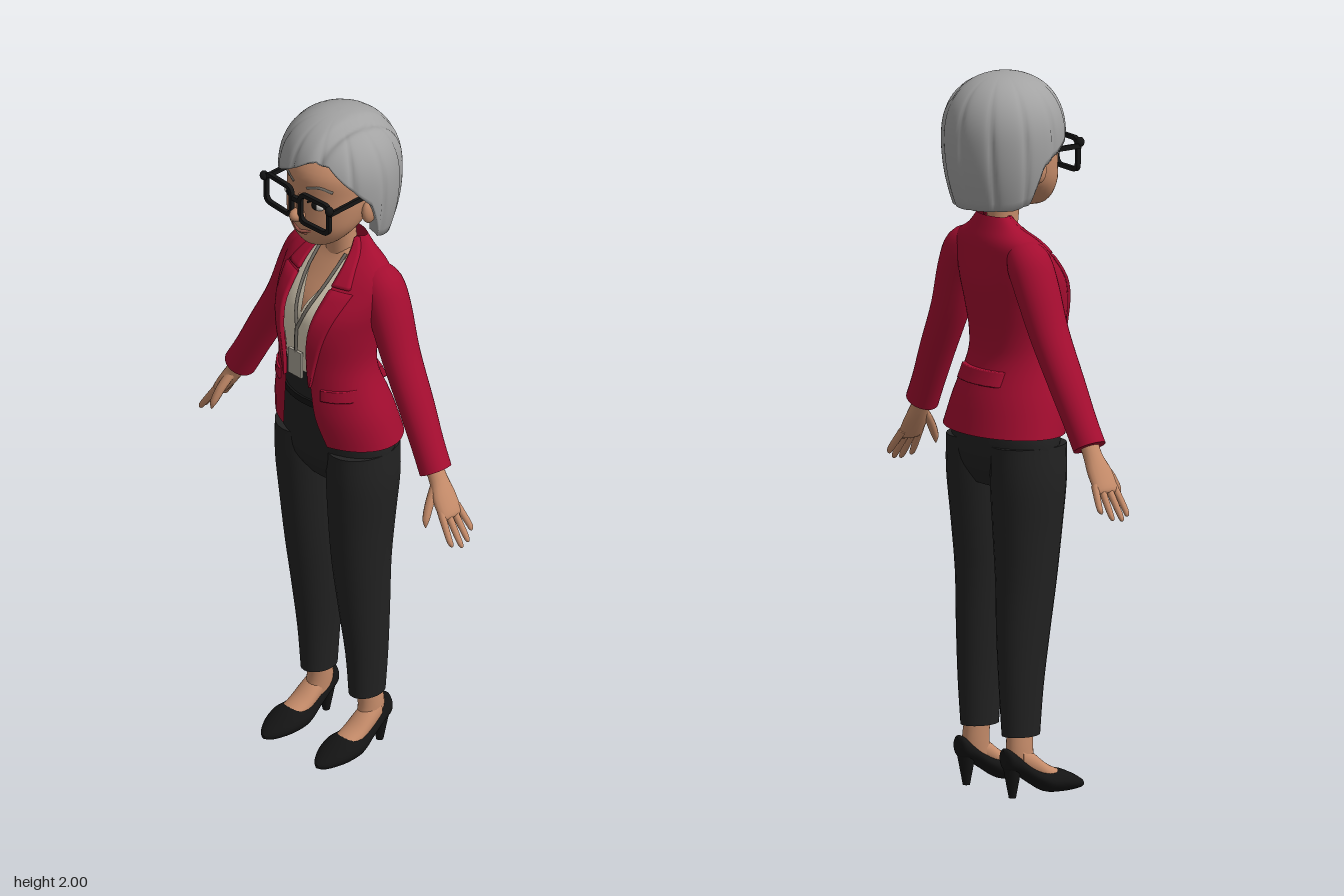
import * as THREE from 'three';

const mat = (name, color, side = THREE.FrontSide) => {
  const m = new THREE.MeshStandardMaterial({ color, side });
  m.name = name;
  return m;
};

// Surface through rows of points; closed rows wrap around
function grid(rows, closed = true) {
  const n = rows[0].length, idx = [];
  for (let i = 0; i < rows.length - 1; i++) {
    for (let j = 0; j < (closed ? n : n - 1); j++) {
      const k = (j + 1) % n, a = i * n + j, b = i * n + k;
      idx.push(a, a + n, b, b, a + n, b + n);
    }
  }
  const g = new THREE.BufferGeometry();
  g.setAttribute('position', new THREE.Float32BufferAttribute(rows.flat(2), 3));
  g.setIndex(idx);
  g.computeVertexNormals();
  return g;
}

// Catmull-Rom refinement of a list of number rows
function smooth(rings, sub = 4) {
  const out = [], at = i => rings[Math.max(0, Math.min(rings.length - 1, i))];
  for (let i = 0; i < rings.length - 1; i++) for (let k = 0; k < sub; k++) {
    const t = k / sub;
    out.push(at(i).map((p1, c) => {
      const p0 = at(i - 1)[c], p2 = at(i + 1)[c], p3 = at(i + 2)[c];
      return p1 + 0.5 * t * (p2 - p0 + t * (2 * p0 - 5 * p1 + 4 * p2 - p3 + t * (3 * (p1 - p2) + p3 - p0)));
    }));
  }
  out.push(at(rings.length - 1));
  return out;
}

// Capped loft of ellipses, ring = [x, y, z, radius across, radius in z]
function loft(rings, n = 24) {
  const R = smooth(rings);
  const rows = R.map(([x, y, z, a, b], i) => {
    const p = R[Math.max(0, i - 1)], q = R[Math.min(R.length - 1, i + 1)];
    const d = Math.hypot(q[0] - p[0], q[1] - p[1]) || 1;
    const px = (q[1] - p[1]) / d, py = -(q[0] - p[0]) / d;
    return Array.from({ length: n }, (_, j) => {
      const f = j / n * Math.PI * 2, c = a * Math.cos(f);
      return [x + px * c, y + py * c, z + b * Math.sin(f)];
    });
  });
  const cap = r => Array.from({ length: n }, () => r.slice(0, 3));
  const last = R.length - 1;
  return grid([cap(R[0]), rows[0], ...rows, rows[last], cap(R[last])]);
}
const mir = (rings, s) => rings.map(([x, ...r]) => [x * s, ...r]);
// Upright body section: [y, half width, front z, back z]
const body = rings => loft(rings.map(([y, w, f, b]) => [0, y, (f + b) / 2, w, (f - b) / 2]), 36);

// Open-fronted garment: [y, half width, front z, back z, half opening]
function shell(rings) {
  return grid(smooth(rings).map(([y, w, f, b, gap]) => {
    const g = Math.asin(Math.max(0, Math.min(0.98, gap / w)));
    return Array.from({ length: 49 }, (_, j) => {
      const t = 2 * Math.PI - g - (2 * Math.PI - 2 * g) * j / 48;
      return [w * Math.sin(t), y, (f + b) / 2 + (f - b) / 2 * Math.cos(t)];
    });
  }), false);
}

const jacketRings = [
  [1.01, 0.205, 0.135, -0.15, 0.085], [1.1, 0.185, 0.15, -0.125, 0.06], [1.2, 0.155, 0.155, -0.088, 0.048],
  [1.27, 0.146, 0.16, -0.086, 0.045], [1.36, 0.157, 0.165, -0.1, 0.05], [1.43, 0.17, 0.148, -0.11, 0.058],
  [1.5, 0.178, 0.09, -0.105, 0.064], [1.54, 0.162, 0.05, -0.1, 0.064], [1.575, 0.1, 0.01, -0.088, 0.056],
  [1.61, 0.062, -0.02, -0.075, 0.045]];
const jacketFine = smooth(jacketRings, 8);

// Raised cloth panel lying on the jacket; span(t, gap) gives its x limits
function panel(y0, y1, span, side = 1, off = 0.009) {
  const us = [0, 0, 0.2, 0.4, 0.6, 0.8, 1, 1], rows = [];
  for (let i = -1; i <= 15; i++) {
    const t = Math.max(0, Math.min(14, i)) / 14, y = y0 + (y1 - y0) * t;
    const k = Math.max(1, jacketFine.findIndex(r => r[0] >= y)), A = jacketFine[k - 1], B = jacketFine[k];
    const [, w, f, b, gap] = A.map((v, c) => v + (B[c] - v) * (y - A[0]) / (B[0] - A[0]));
    const [x0, x1] = span(t, gap), rim = i < 0 || i > 14;
    rows.push(us.map((u, j) => {
      const x = Math.max(-0.97 * w, Math.min(0.97 * w, x1 + (x0 - x1) * u));
      const o = rim || j === 0 || j === 7 ? -0.004 : off;
      return [x, y, (f + b) / 2 + side * ((f - b) / 2 * Math.sqrt(1 - (x / w) ** 2) + o)];
    }));
  }
  return grid(rows, false);
}

// Bob hair: dome whose lower edge changes with the angle from the front
const hairEdge = [[-180, 1.635], [-115, 1.64], [-96, 1.655], [-84, 1.76], [-60, 1.8], [-40, 1.825], [-10, 1.87],
  [20, 1.925], [35, 1.91], [55, 1.85], [78, 1.78], [92, 1.655], [115, 1.64], [180, 1.635]];
function hairGeometry() {
  const rows = [], N = 144, T = 28;
  for (let i = 0; i <= T + 2; i++) {
    const row = [];
    for (let j = 0; j < N; j++) {
      const deg = -180 + 360 * j / N, a = deg * Math.PI / 180;
      const k = Math.max(1, hairEdge.findIndex(e => e[0] >= deg));
      const [d0, e0] = hairEdge[k - 1], [d1, e1] = hairEdge[k];
      const edge = e0 + (e1 - e0) * (deg - d0) / (d1 - d0);
      const t = Math.min(1, i / T);
      let y = 2 - (2 - edge) * t ** 1.8;
      let r = y > 1.82 ? Math.max(0, 1 - ((y - 1.82) / 0.18) ** 2.3) ** (1 / 2.3) : 1 - 0.2 * ((1.82 - y) / 0.19) ** 2;
      const lock = (1 - Math.abs(Math.sin(a * 5.5 + 0.6 + (y - 1.8) * 1.5))) ** 4;
      r *= 1 - 0.045 * lock * Math.min(1, t * 1.5);
      if (i > T) { r *= i === T + 1 ? 0.93 : 0.78; y += (i - T) * 0.006; }
      const x = 0.168 * r * Math.sin(a), z = -0.01 + 0.172 * r * Math.cos(a);
      const part = Math.exp(-(((x - 0.07 + z * 0.1) / 0.016) ** 2));
      if (y > 1.88 && z > -0.14) y -= 0.014 * part;
      row.push([x, y, z]);
    }
    rows.push(row);
  }
  return grid(rows);
}

// Rounded lens rim with a hole
function rimGeometry() {
  const rect = (P, w, h, r) => {
    const p = new P();
    p.moveTo(-w + r, -h).lineTo(w - r, -h).quadraticCurveTo(w, -h, w, -h + r).lineTo(w, h - r)
      .quadraticCurveTo(w, h, w - r, h).lineTo(-w + r, h).quadraticCurveTo(-w, h, -w, h - r)
      .lineTo(-w, -h + r).quadraticCurveTo(-w, -h, -w + r, -h);
    return p;
  };
  const s = rect(THREE.Shape, 0.058, 0.05, 0.025);
  s.holes.push(rect(THREE.Path, 0.047, 0.038, 0.018));
  return new THREE.ExtrudeGeometry(s, { depth: 0.012, bevelEnabled: false });
}

export function createModel() {
  const skin = mat('skin', 0xc68c6a), hair = mat('hair grey', 0xa3a3a3, THREE.DoubleSide);
  const red = mat('jacket red', 0xa50d30, THREE.DoubleSide), cloth = mat('trouser charcoal', 0x222222);
  const black = mat('black', 0x141414), cream = mat('blouse cream', 0xd6cbb5, THREE.DoubleSide);
  const grey = mat('lanyard grey', 0x6f6a62), badgeGrey = mat('badge grey', 0xa8a296);
  const white = mat('eye white', 0xe8e4de), lip = mat('lip', 0xa25a4c);
  const model = new THREE.Group();
  const add = (name, geo, m, x = 0, y = 0, z = 0) => {
    const o = new THREE.Mesh(geo, m);
    o.name = name;
    o.position.set(x, y, z);
    model.add(o);
    return o;
  };
  const blob = (name, m, p, s) => add(name, new THREE.SphereGeometry(1, 20, 14), m, ...p).scale.set(...s);
  const tube = (name, m, r, ...pts) => add(name, new THREE.TubeGeometry(
    new THREE.CatmullRomCurve3(pts.map(p => new THREE.Vector3(...p))), 20, r, 6), m);

  // Head and neck
  add('head', body([[1.626, 0.03, 0.108, 0.05], [1.636, 0.055, 0.12, 0.03], [1.66, 0.084, 0.133, 0], [1.7, 0.112, 0.143, -0.05],
    [1.75, 0.126, 0.142, -0.09], [1.8, 0.13, 0.141, -0.12], [1.86, 0.126, 0.14, -0.12], [1.91, 0.1, 0.105, -0.1], [1.94, 0.05, 0.05, -0.05]]), skin);
  add('neck', loft([[0, 1.5, -0.025, 0.055, 0.05], [0, 1.58, -0.015, 0.045, 0.043], [0, 1.7, 0, 0.045, 0.045]]), skin);
  blob('nose', skin, [0, 1.735, 0.15], [0.021, 0.019, 0.027]);
  blob('noseBridge', skin, [0, 1.765, 0.14], [0.012, 0.035, 0.014]);
  tube('mouth', lip, 0.0045, [-0.036, 1.69, 0.133], [0, 1.682, 0.145], [0.036, 1.69, 0.133]);
  blob('lowerLip', lip, [0, 1.677, 0.138], [0.022, 0.006, 0.007]);
  add('hair', hairGeometry(), hair);

  // Upper body under the jacket
  add('chest', body([[1.36, 0.13, 0.13, -0.07], [1.43, 0.14, 0.115, -0.08], [1.5, 0.14, 0.065, -0.08],
    [1.55, 0.1, 0.03, -0.07], [1.58, 0.05, 0.015, -0.06]]), skin);
  add('blouse', shell([[1.18, 0.13, 0.128, -0.07, 0], [1.28, 0.13, 0.14, -0.07, 0], [1.37, 0.142, 0.148, -0.085, 0],
    [1.43, 0.15, 0.132, -0.09, 0.003], [1.5, 0.152, 0.08, -0.09, 0.035], [1.56, 0.1, 0.03, -0.075, 0.052]]), cream);
  add('jacket', shell(jacketRings), red);
  add('backStrap', panel(1.145, 1.185, () => [-0.09, 0.09], -1, 0.013), red);

  // Lanyard and badge
  for (const s of [-1, 1]) tube('lanyard', grey, 0.005, [s * 0.048, 1.57, 0.015], [s * 0.04, 1.5, 0.085], [s * 0.02, 1.43, 0.137], [0, 1.37, 0.155]);
  tube('lanyardStrap', grey, 0.005, [0, 1.375, 0.155], [-0.003, 1.34, 0.155], [-0.006, 1.29, 0.152]);
  add('badge', new THREE.BoxGeometry(0.05, 0.08, 0.008), badgeGrey, -0.007, 1.255, 0.152);

  // Trousers
  add('trouserSeat', body([[0.86, 0.13, 0.07, -0.08], [0.92, 0.178, 0.108, -0.112], [1, 0.19, 0.118, -0.12],
    [1.08, 0.165, 0.128, -0.1], [1.16, 0.138, 0.13, -0.075], [1.225, 0.13, 0.134, -0.068]]), cloth);
  add('belt', body([[1.12, 0.152, 0.135, -0.088], [1.14, 0.146, 0.136, -0.082]]), black);

  const rim = rimGeometry();
  for (const s of [-1, 1]) {
    // Face details
    blob('eyeWhite', white, [s * 0.052, 1.778, 0.126], [0.024, 0.015, 0.012]);
    blob('iris', black, [s * 0.05, 1.778, 0.133], [0.012, 0.013, 0.008]);
    tube('eyelid', black, 0.003, [s * 0.026, 1.782, 0.139], [s * 0.05, 1.795, 0.134], [s * 0.078, 1.784, 0.124]);
    tube('eyebrow', grey, 0.005, [s * 0.024, 1.826, 0.139], [s * 0.06, 1.836, 0.126], [s * 0.09, 1.824, 0.105]);
    blob('ear', skin, [s * 0.134, 1.745, 0.01], [0.016, 0.036, 0.024]);
    // Glasses
    add('glassesRim', rim, black, s * 0.07, 1.77, 0.148).rotation.y = s * 0.06;
    add('glassesArm', new THREE.BoxGeometry(0.008, 0.014, 0.14), black, s * 0.13, 1.795, 0.085);
    blob('glassesHinge', black, [s * 0.128, 1.805, 0.155], [0.012, 0.014, 0.012]);

    // Jacket trim, sleeves and cuffs
    add('lapel', panel(1.2, 1.495, (t, g) => [s * g, s * (g + 0.002 + 0.062 * t ** 0.8)]), red);
    add('collar', panel(1.505, 1.608, (t, g) => [s * g, s * (g + 0.042 * (1 - t) + 0.01)]), red);
    add('pocketFlap', panel(1.165, 1.2, () => [s * 0.08, s * 0.148], 1, 0.007), red);
    add('sleeve', loft(mir([[0.1, 1.525, -0.03, 0.035, 0.045], [0.14, 1.495, -0.03, 0.058, 0.062], [0.175, 1.43, -0.028, 0.057, 0.064],
      [0.225, 1.31, -0.022, 0.051, 0.057], [0.295, 1.18, -0.014, 0.047, 0.052], [0.345, 1.085, -0.007, 0.045, 0.047],
      [0.382, 1.018, -0.002, 0.046, 0.046]], s)), red);

    // Hand with four fingers and a thumb
    add('palm', loft(mir([[0.37, 1.04, 0, 0.024, 0.027], [0.395, 0.995, 0, 0.023, 0.028], [0.42, 0.955, 0.004, 0.021, 0.038],
      [0.447, 0.912, 0.005, 0.016, 0.038], [0.452, 0.902, 0.005, 0.009, 0.032]], s), 16), skin);
    [[0.033, 0.043, 0.495, 0.84], [0.013, 0.017, 0.507, 0.832], [-0.008, -0.011, 0.502, 0.836], [-0.026, -0.038, 0.487, 0.855]]
      .forEach(([z0, z1, x, y]) => add('finger', loft(mir([[0.438, 0.925, z0, 0.011, 0.011],
        [0.25 * 0.438 + 0.75 * x, 0.25 * 0.925 + 0.75 * y, z1, 0.009, 0.009], [x - 0.003, y + 0.004, z1, 0.006, 0.006], [x, y, z1, 0.001, 0.001]], s), 10), skin));
    add('thumb', loft(mir([[0.398, 0.985, 0.015, 0.014, 0.014], [0.408, 0.945, 0.045, 0.013, 0.014],
      [0.416, 0.905, 0.066, 0.01, 0.011], [0.42, 0.882, 0.072, 0.002, 0.002]], s), 10), skin);

    // Trouser leg
    add('trouserLeg', loft(mir([[0.1, 0.98, 0, 0.09, 0.112], [0.1, 0.88, 0, 0.091, 0.112], [0.095, 0.74, 0, 0.082, 0.102],
      [0.092, 0.6, -0.002, 0.073, 0.09], [0.092, 0.45, -0.012, 0.062, 0.079], [0.094, 0.3, -0.02, 0.051, 0.066],
      [0.094, 0.17, -0.021, 0.043, 0.057]], s)), cloth);

    // Foot and heeled shoe; sections run from heel to toe
    add('ankle', loft(mir([[0.096, 0.2, -0.025, 0.031, 0.038], [0.1, 0.13, -0.03, 0.032, 0.04], [0.102, 0.08, -0.025, 0.03, 0.045]], s)), skin);
    const along = (name, rings, m) => add(name, loft(rings.map(([z, lo, hi, w]) => [s * 0.105, z, -(lo + hi) / 2, w, (hi - lo) / 2]))
      .rotateX(Math.PI / 2), m);
    along('instep', [[-0.04, 0.07, 0.15, 0.03], [0, 0.05, 0.125, 0.034], [0.045, 0.03, 0.088, 0.037], [0.085, 0.03, 0.066, 0.034]], skin);
    along('shoe', [[-0.088, 0.09, 0.135, 0.012], [-0.078, 0.076, 0.14, 0.03], [-0.045, 0.062, 0.118, 0.037], [0, 0.033, 0.085, 0.041],
      [0.045, 0.006, 0.07, 0.051], [0.09, 0, 0.066, 0.054], [0.13, 0, 0.05, 0.045], [0.165, 0.002, 0.03, 0.025], [0.18, 0.008, 0.018, 0.006]], black);
    add('heel', new THREE.CylinderGeometry(0.027, 0.01, 0.09, 14), black, s * 0.105, 0.045, -0.058);
  }
  add('glassesBridge', new THREE.BoxGeometry(0.03, 0.014, 0.012), black, 0, 1.787, 0.156);
  return model;
}
